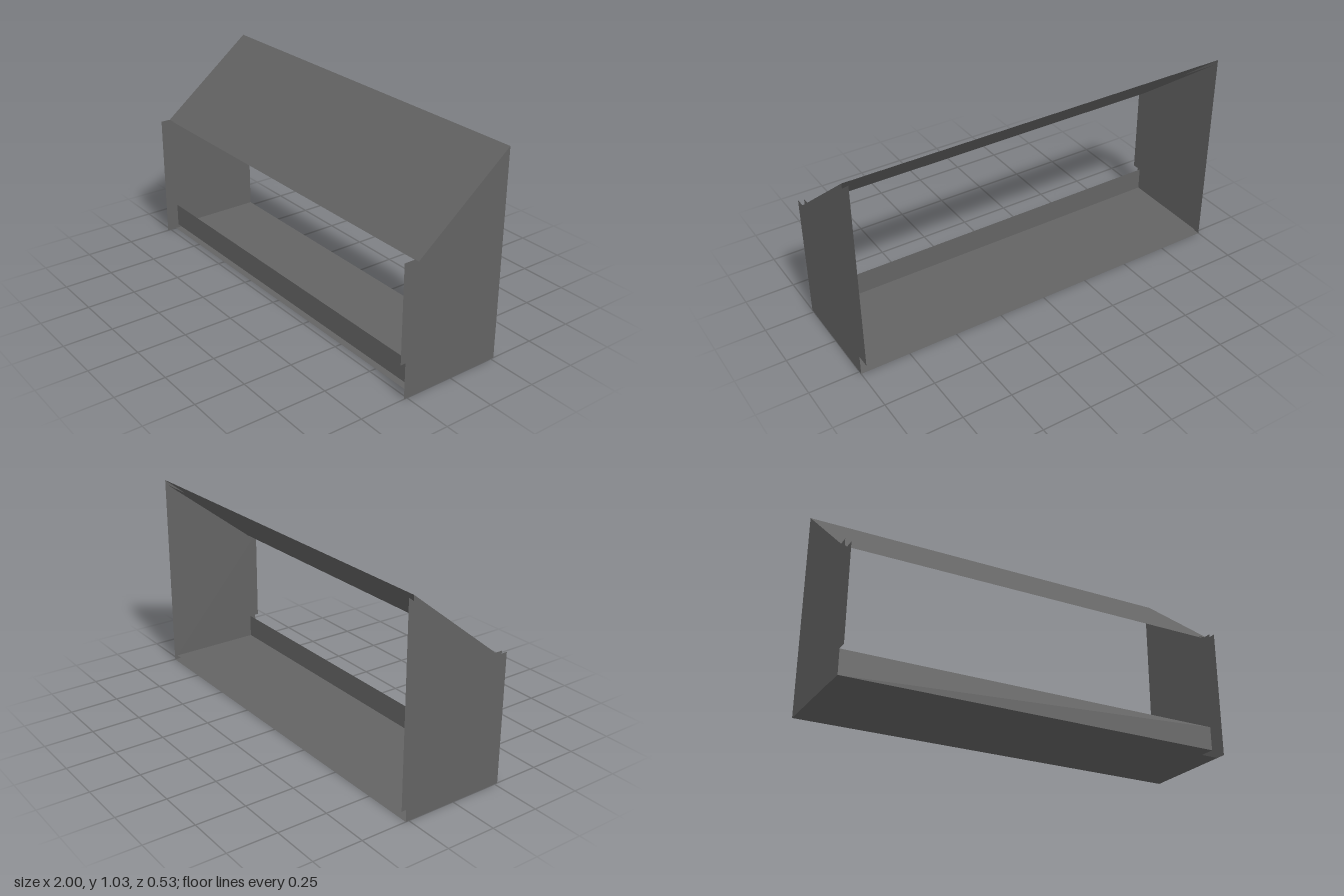
import * as THREE from 'three';

const material = new THREE.MeshStandardMaterial({ color: 0x636363, side: THREE.DoubleSide, flatShading: true });

const BACK = -0.267, LIP = 0.267, FRONT = 0.216; // depth stations
const OUT = 1, IN = 0.971; // half widths of the outer and inner skins
const FLOOR = 0.035, BOARD = 0.155; // floor top and front board top

// Ends of the roof's inner skin, as (z, y)
const EAVE = [0.213, 0.643], RIDGE = [BACK, 1.012];

export function createModel() {
  const group = new THREE.Group();

  const add = (name, geometry) => {
    const mesh = new THREE.Mesh(geometry, material);
    mesh.name = name;
    group.add(mesh);
    return mesh;
  };

  // Upright sheet from a (z, y) outline
  const sidePanel = (name, x, outline) => {
    const shape = new THREE.Shape(outline.map(([z, y]) => new THREE.Vector2(z, y)));
    add(name, new THREE.ShapeGeometry(shape).rotateY(-Math.PI / 2)).position.x = x;
  };

  // Sheet spanning the width between two (z, y) points
  const sheet = (name, halfWidth, [z0, y0], [z1, y1]) => {
    const length = Math.hypot(z1 - z0, y1 - y0);
    const geometry = new THREE.PlaneGeometry(2 * halfWidth, length);
    geometry.rotateX(Math.atan2(z1 - z0, y1 - y0));
    add(name, geometry).position.set(0, (y0 + y1) / 2, (z0 + z1) / 2);
  };

  // Side walls: outer skin and notched inner skin
  const outer = [[BACK, 0], [LIP, 0], [LIP, 0.648], [FRONT, 0.648], [BACK, 1.033]];
  const inner = [
    [BACK, FLOOR], [FRONT, FLOOR], [FRONT, BOARD], [LIP, BOARD],
    [LIP, 0.643], EAVE, RIDGE,
  ];
  for (const [side, sign] of [['left', 1], ['right', -1]]) {
    sidePanel(side + 'OuterWall', sign * OUT, outer);
    sidePanel(side + 'InnerWall', sign * IN, inner);
  }

  // Floor skins
  sheet('floorUnderside', OUT, [BACK, 0], [FRONT, 0]);
  sheet('floorTop', IN, [BACK, FLOOR], [FRONT, FLOOR]);

  // Low board along the front
  sheet('frontBoard', IN, [FRONT, FLOOR], [FRONT, BOARD]);

  // Sloping roof skins
  sheet('roofTop', OUT, [FRONT, 0.648], [BACK, 1.033]);
  sheet('roofUnderside', IN, EAVE, RIDGE);

  return group;
}
